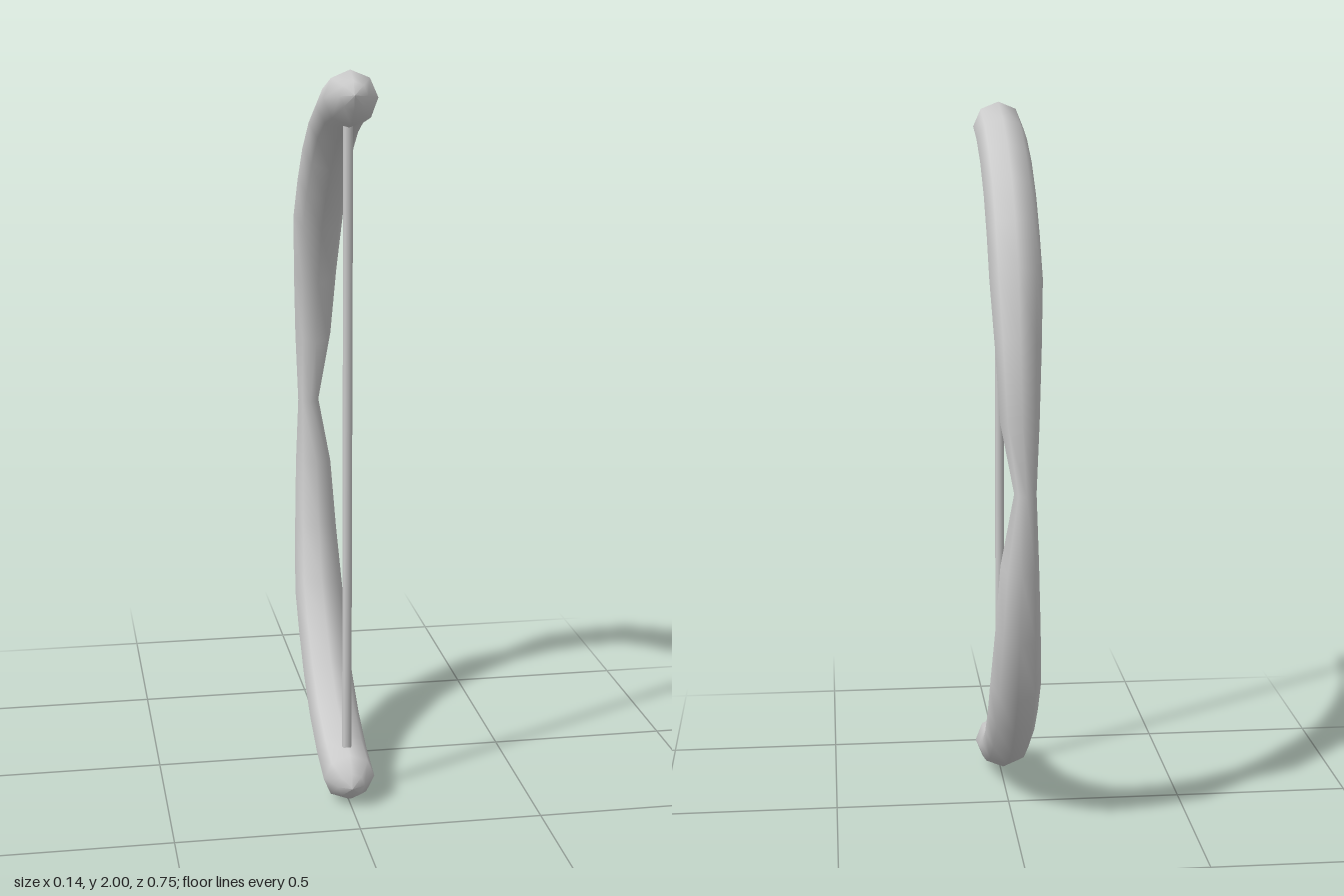
import * as THREE from 'three';

const SIDES = 8;

// Upper limb stations from tip to just above the grip:
// [outer z, outer y, inner z, inner y, half width]
const LIMB = [
  [0.38, 1.94, 0.38, 1.94, 0],
  [0.362, 1.975, 0.37, 1.9, 0.037],
  [0.31, 2.0, 0.335, 1.86, 0.071],
  [0.17, 1.96, 0.23, 1.84, 0.071],
  [0.04, 1.9, 0.11, 1.79, 0.071],
  [-0.085, 1.82, 0.01, 1.71, 0.071],
  [-0.18, 1.72, -0.075, 1.62, 0.071],
  [-0.265, 1.6, -0.15, 1.52, 0.071],
  [-0.325, 1.42, -0.21, 1.36, 0.062],
  [-0.375, 1.21, -0.25, 1.18, 0.052],
];
// Narrow grip, pinched toward one side
const GRIP = [-0.34, 1, -0.26, 1, 0.03, -0.016];

// Skin a tube through elliptical rings
function loft(stations) {
  const pos = [], index = [];
  stations.forEach(([oz, oy, iz, iy, w, x = 0], r) => {
    for (let s = 0; s < SIDES; s++) {
      const a = (s / SIDES) * Math.PI * 2, c = Math.cos(a) / 2;
      pos.push(x + Math.sin(a) * w, (oy + iy) / 2 + (oy - iy) * c, (oz + iz) / 2 + (oz - iz) * c);
      if (r === stations.length - 1) continue;
      const p = r * SIDES + s, q = r * SIDES + (s + 1) % SIDES;
      index.push(p, q, p + SIDES, q, q + SIDES, p + SIDES);
    }
  });
  const g = new THREE.BufferGeometry();
  g.setAttribute('position', new THREE.Float32BufferAttribute(pos, 3));
  g.setIndex(index);
  g.computeVertexNormals();
  return g;
}

export function createModel() {
  const group = new THREE.Group();
  group.name = 'bow';
  const material = new THREE.MeshStandardMaterial({ color: 0xcccccc });

  // Curved stave: upper limb, grip, mirrored lower limb
  const lower = LIMB.map(([oz, oy, iz, iy, w]) => [oz, 2 - oy, iz, 2 - iy, w]).reverse();
  const stave = new THREE.Mesh(loft([...LIMB, GRIP, ...lower]), material);
  stave.name = 'stave';
  group.add(stave);

  // Straight string between the tips
  const string = new THREE.Mesh(new THREE.CylinderGeometry(0.013, 0.013, 1.78, 8), material);
  string.name = 'bowstring';
  string.position.set(0, 1, 0.283);
  group.add(string);

  return group;
}
